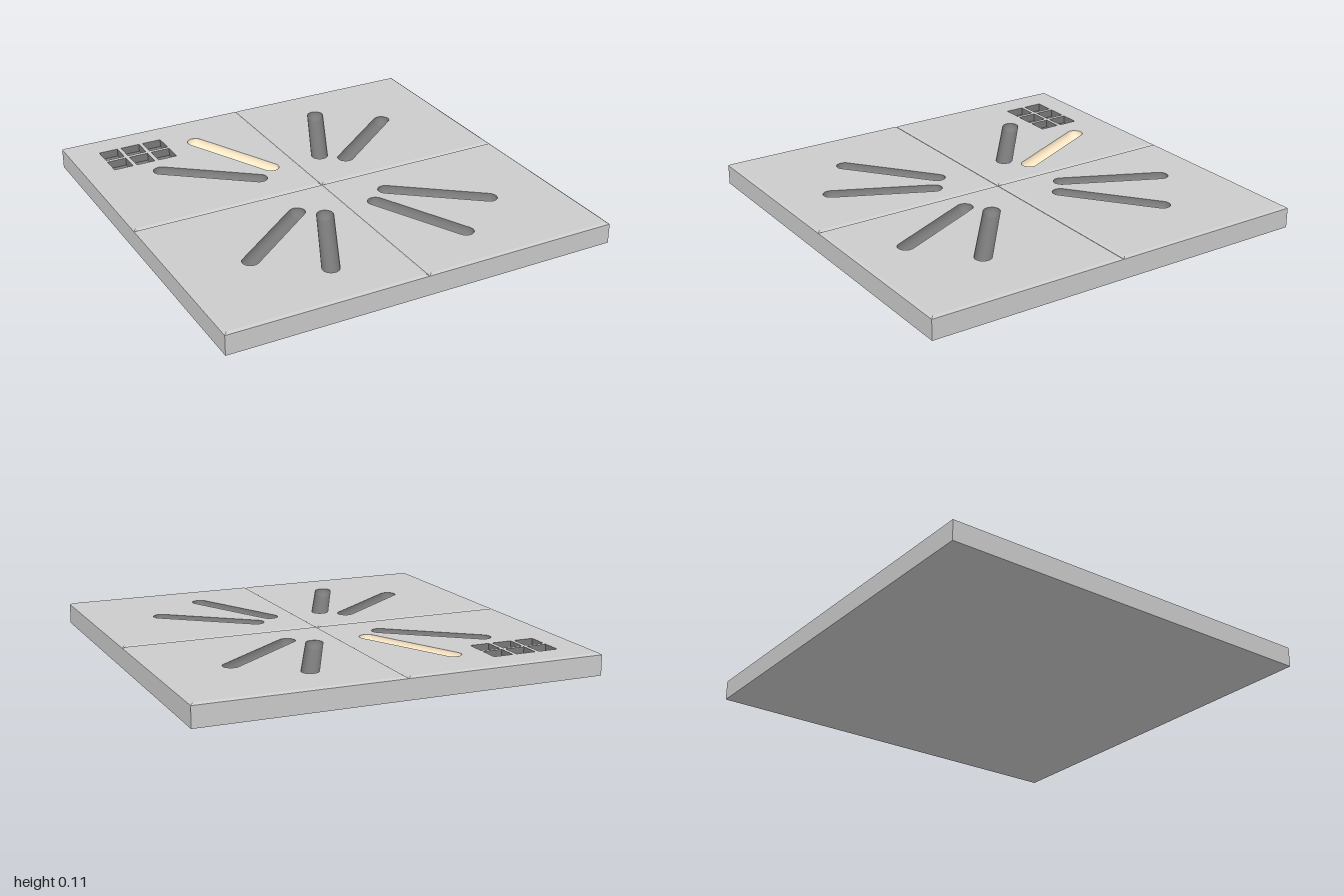
import * as THREE from 'three';

const BASE = 0.1, TOP = 0.108, CHAMFER = 0.013;
const R = 0.041, POCKET = 0.1, DEPTH = 0.04;

const grey = new THREE.MeshStandardMaterial({ color: 0xcccccc, flatShading: true });
const dark = new THREE.MeshStandardMaterial({ color: 0x7a7a7a, side: THREE.DoubleSide });
const cream = new THREE.MeshStandardMaterial({ color: 0xffebc8, side: THREE.DoubleSide });

// Slot cap centres [inner x, inner z, outer x, outer z], mirrored into each quarter
const SLOTS = [
  [0.14, 0.287, 0.358, 0.742],
  [0.247, 0.203, 0.645, 0.515],
];

function add(group, name, geometry, material, x = 0, y = 0, z = 0) {
  const mesh = new THREE.Mesh(geometry, material);
  mesh.name = name;
  mesh.position.set(x, y, z);
  group.add(mesh);
  return mesh;
}

// Square open-ended ring of four walls, optionally tapering
function squareWalls(topSide, bottomSide, height) {
  return new THREE.CylinderGeometry(topSide * Math.SQRT1_2, bottomSide * Math.SQRT1_2, height, 4, 1, true)
    .rotateY(Math.PI / 4);
}

// Lower half of a round-ended rod lying along z
function troughGeometry(length) {
  const profile = [];
  for (const end of [-1, 1]) {
    for (let i = 0; i <= 6; i++) {
      const a = (end < 0 ? i - 6 : i) * Math.PI / 12;
      profile.push(new THREE.Vector2(Math.max(0, R * Math.cos(a)), end * length / 2 + R * Math.sin(a)));
    }
  }
  return new THREE.LatheGeometry(profile, 16, Math.PI / 2, Math.PI).rotateX(-Math.PI / 2);
}

// Outline of a slot, in shape space (y is -z)
function slotHole(ix, iz, ox, oz) {
  const a = Math.atan2(-(oz - iz), ox - ix);
  const hole = new THREE.Path();
  hole.absarc(ox, -oz, R, a - Math.PI / 2, a + Math.PI / 2, false);
  hole.absarc(ix, -iz, R, a + Math.PI / 2, a + Math.PI * 1.5, false);
  hole.closePath();
  return hole;
}

function rectPoints(x0, y0, x1, y1) {
  return [[x0, y0], [x1, y0], [x1, y1], [x0, y1]].map(p => new THREE.Vector2(...p));
}

// Square recess without a lid, its rim at y = 0
function pocketGeometry() {
  const g = new THREE.BoxGeometry(POCKET, DEPTH, POCKET).translate(0, -DEPTH / 2, 0);
  const index = Array.from(g.index.array);
  index.splice(12, 6);
  g.setIndex(index);
  g.clearGroups();
  return g;
}

export function createModel() {
  const model = new THREE.Group();
  model.name = 'slottedSlab';

  // Slab sides and underside
  add(model, 'slabSides', squareWalls(2, 2, BASE), grey, 0, BASE / 2, 0);
  add(model, 'slabUnderside', new THREE.PlaneGeometry(2, 2).rotateX(Math.PI / 2), grey);

  // Four chamfered tiles, each with two troughs
  for (const sx of [-1, 1]) {
    for (const sz of [-1, 1]) {
      const tile = new THREE.Group();
      tile.name = (sz > 0 ? 'front' : 'back') + (sx > 0 ? 'Left' : 'Right') + 'Tile';
      model.add(tile);
      const withPockets = sx < 0 && sz < 0;

      const h = 0.5 - CHAMFER, cx = sx * 0.5, cz = sz * 0.5;
      const face = new THREE.Shape(rectPoints(cx - h, -cz - h, cx + h, -cz + h));

      SLOTS.forEach(([ix, iz, ox, oz], i) => {
        const slot = [sx * ix, sz * iz, sx * ox, sz * oz];
        face.holes.push(slotHole(...slot));
        const dx = slot[2] - slot[0], dz = slot[3] - slot[1];
        const trough = add(tile, 'trough', troughGeometry(Math.hypot(dx, dz)),
          withPockets && i === 0 ? cream : dark,
          (slot[0] + slot[2]) / 2, TOP, (slot[1] + slot[3]) / 2);
        trough.rotation.y = Math.atan2(dx, dz);
      });

      // Grid of square pockets in the back corner
      if (withPockets) {
        for (const x of [-0.8, -0.68, -0.56]) {
          for (const z of [-0.805, -0.685]) {
            const p = POCKET / 2;
            face.holes.push(new THREE.Path(rectPoints(x - p, -z - p, x + p, -z + p)));
            add(tile, 'pocket', pocketGeometry(), dark, x, TOP, z);
          }
        }
      }

      add(tile, 'tileFace', new THREE.ShapeGeometry(face, 12).rotateX(-Math.PI / 2), grey, 0, TOP, 0);
      add(tile, 'tileChamfer', squareWalls(2 * h, 1, TOP - BASE), grey, cx, (TOP + BASE) / 2, cz);
    }
  }
  return model;
}
